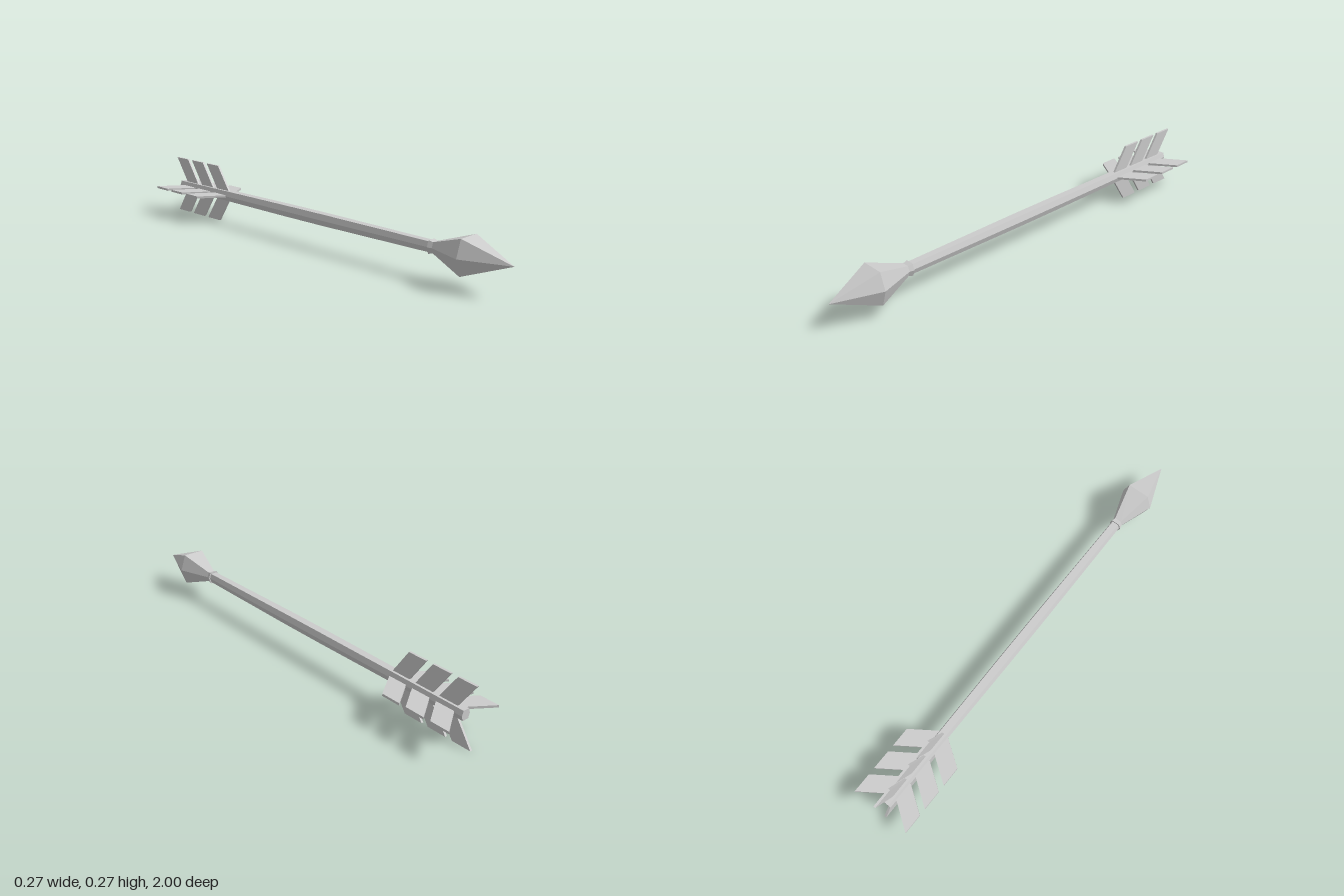
import * as THREE from 'three';

const AXIS_Y = 0.136;

const material = new THREE.MeshStandardMaterial({ color: 0xcccccc, flatShading: true });

// Six-sided solid along z from [radius, z] pairs, rear to front, with a broad flat top and bottom
function hexLoft(name, profile) {
  const points = profile.map(([r, z]) => new THREE.Vector2(r, z));
  const geometry = new THREE.LatheGeometry(points, 6, Math.PI / 2);
  geometry.rotateX(Math.PI / 2);
  const p = geometry.attributes.position;
  for (let i = 0; i < p.count; i++) {
    if (Math.abs(p.getY(i)) > 1e-5) p.setXY(i, p.getX(i) * 1.34, p.getY(i) * 1.13);
  }
  geometry.computeVertexNormals();
  const mesh = new THREE.Mesh(geometry, material);
  mesh.name = name;
  return mesh;
}

// One swept-back vane, drawn in (radius, z) and given a small thickness
function vaneGeometry(rearZ) {
  const inner = 0.012, outer = 0.136, sweep = 0.084, width = 0.088, thickness = 0.01;
  const shape = new THREE.Shape([
    new THREE.Vector2(inner, rearZ + sweep),
    new THREE.Vector2(outer, rearZ),
    new THREE.Vector2(outer, rearZ + width),
    new THREE.Vector2(inner, rearZ + sweep + width),
  ]);
  const geometry = new THREE.ExtrudeGeometry(shape, { depth: thickness, bevelEnabled: false });
  geometry.translate(0, 0, -thickness / 2);
  geometry.rotateX(Math.PI / 2);
  return geometry;
}

export function createModel() {
  const arrow = new THREE.Group();
  arrow.name = 'arrow';

  // Shaft, slightly thicker in the middle
  arrow.add(hexLoft('shaft', [
    [0, -0.96], [0.022, -0.96], [0.026, -0.2], [0.026, 0.05], [0.022, 0.65], [0, 0.65],
  ]));

  // Pointed head with a small flared collar at its base
  arrow.add(hexLoft('head', [
    [0, 0.628], [0.028, 0.628], [0.023, 0.648], [0.075, 0.8], [0, 1],
  ]));

  // Four rows of three vanes around the tail
  const fletching = new THREE.Group();
  fletching.name = 'fletching';
  for (let row = 0; row < 4; row++) {
    for (let i = 0; i < 3; i++) {
      const vane = new THREE.Mesh(vaneGeometry(-1 + i * 0.12), material);
      vane.name = 'vane';
      vane.rotation.z = row * Math.PI / 2;
      fletching.add(vane);
    }
  }
  arrow.add(fletching);

  arrow.children.forEach((part) => { part.position.y = AXIS_Y; });
  return arrow;
}
